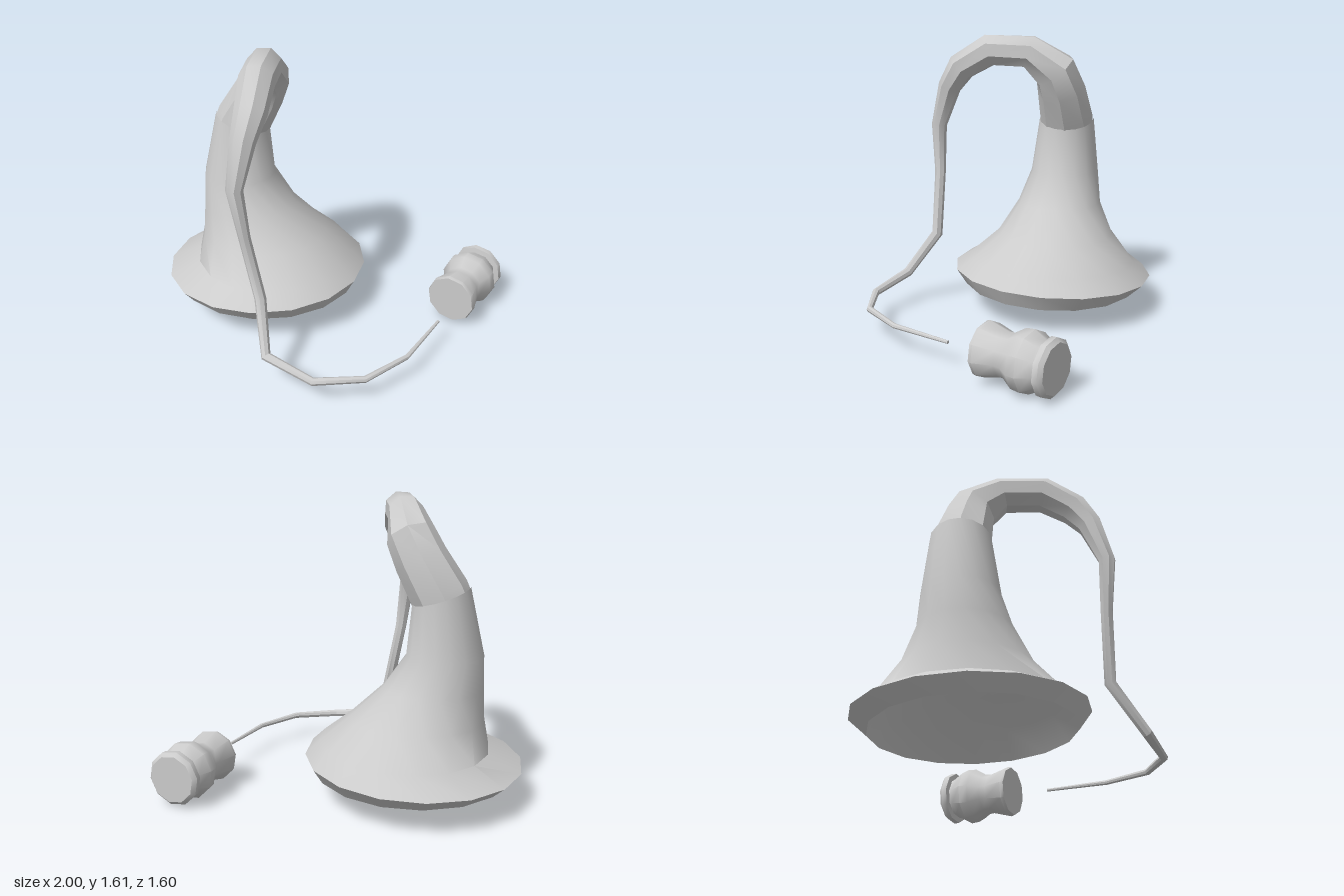
import * as THREE from 'three';
import { toCreasedNormals } from 'three/addons/utils/BufferGeometryUtils.js';

const material = new THREE.MeshStandardMaterial({ color: 0xcccccc });
const V = (x, y, z) => new THREE.Vector3(x, y, z);

// Skin a list of rings; each ring is { c, u, v }: a centre and two half axes.
function loft(rings, sides, crease) {
  const positions = [], index = [];
  for (const { c, u, v } of rings) {
    for (let j = 0; j < sides; j++) {
      const a = (j / sides) * Math.PI * 2;
      const p = c.clone().addScaledVector(u, Math.cos(a)).addScaledVector(v, Math.sin(a));
      positions.push(p.x, p.y, p.z);
    }
  }
  for (let i = 0; i < rings.length - 1; i++) {
    for (let j = 0; j < sides; j++) {
      const k = (j + 1) % sides;
      const a = i * sides + j, b = i * sides + k, c = a + sides, d = b + sides;
      index.push(a, c, d, a, d, b);
    }
  }
  const g = new THREE.BufferGeometry();
  g.setAttribute('position', new THREE.Float32BufferAttribute(positions, 3));
  g.setIndex(index);
  return toCreasedNormals(g, crease);
}

function addMesh(group, name, geometry) {
  const m = new THREE.Mesh(geometry, material);
  m.name = name;
  group.add(m);
  return m;
}

// Rings of constant roundness that follow a path of [x, y, z, radius].
function pathRings(path) {
  const pts = path.map(([x, y, z]) => V(x, y, z));
  let side = V(1, 0, 0);
  const rings = pts.map((c, i) => {
    const t = V(0, 0, 0);
    if (i > 0) t.add(c.clone().sub(pts[i - 1]).normalize());
    if (i < pts.length - 1) t.add(pts[i + 1].clone().sub(c).normalize());
    t.normalize();
    side = side.clone().addScaledVector(t, -side.dot(t)).normalize();
    const r = path[i][3];
    return { c, u: side.clone().multiplyScalar(r), v: side.clone().cross(t).multiplyScalar(r) };
  });
  // closed tip
  const end = rings[rings.length - 1];
  rings.push({ c: end.c, u: V(0, 0, 0), v: V(0, 0, 0) });
  return rings;
}

export function createModel() {
  const group = new THREE.Group();

  // Hollow bell: inside from apex to lip, then outside from rim to neck.
  // [x, y, z, half width x, half width z, tilt along x, tilt along z]
  const bell = [
    [-0.55, 0.85, -0.27, 0, 0, 0, 0],
    [-0.55, 0.78, -0.27, 0.17, 0.16, 0, 0],
    [-0.51, 0.6, -0.245, 0.23, 0.21, 0, 0],
    [-0.43, 0.43, -0.23, 0.32, 0.3, 0, 0],
    [-0.385, 0.29, -0.21, 0.4, 0.43, 0, 0.01],
    [-0.41, 0.145, -0.2, 0.53, 0.51, 0.005, 0.02],
    [-0.415, 0.225, -0.215, 0.585, 0.585, 0.015, 0.025],
    [-0.365, 0.31, -0.215, 0.455, 0.485, 0.01, 0.01],
    [-0.425, 0.45, -0.23, 0.365, 0.34, 0, 0],
    [-0.51, 0.62, -0.245, 0.27, 0.245, 0, 0],
    [-0.565, 0.8, -0.27, 0.205, 0.2, 0, 0],
    [-0.535, 1.12, -0.28, 0.15, 0.16, -0.05, 0],
  ].map(([x, y, z, rx, rz, tx, tz]) => ({ c: V(x, y, z), u: V(rx, tx, 0), v: V(0, tz, rz) }));
  addMesh(group, 'bell', loft(bell, 16, 0.7));

  // Neck arching forward and thinning into a tail along the ground
  const tail = [
    [-0.55, 1.07, -0.28, 0.155],
    [-0.525, 1.13, -0.278, 0.155],
    [-0.43, 1.3, -0.255, 0.14],
    [-0.38, 1.415, -0.22, 0.13],
    [-0.365, 1.522, -0.075, 0.097],
    [-0.365, 1.528, 0.155, 0.095],
    [-0.37, 1.43, 0.32, 0.085],
    [-0.4, 1.31, 0.4, 0.067],
    [-0.44, 1.075, 0.475, 0.045],
    [-0.405, 0.8, 0.465, 0.032],
    [-0.335, 0.43, 0.475, 0.032],
    [-0.285, 0.19, 0.65, 0.028],
    [-0.025, 0.147, 0.775, 0.022],
    [0.24, 0.147, 0.73, 0.018],
    [0.45, 0.147, 0.53, 0.014],
    [0.615, 0.147, 0.205, 0.009],
  ];
  addMesh(group, 'neckAndTail', loft(pathRings(tail), 8, 0.6));

  // Small turned stopper lying on its side: [radius, distance along axis]
  const profile = [
    [0, 0], [0.14, 0], [0.145, 0.02], [0.115, 0.13], [0.118, 0.17], [0.155, 0.23],
    [0.16, 0.28], [0.125, 0.345], [0.118, 0.365], [0.148, 0.37], [0.15, 0.4], [0.13, 0.42], [0, 0.42],
  ].map(([r, y]) => new THREE.Vector2(r, y));
  const stopper = addMesh(group, 'stopper', toCreasedNormals(new THREE.LatheGeometry(profile, 10), 0.75));
  stopper.position.set(0.685, 0.16, 0.005);
  stopper.quaternion.setFromUnitVectors(V(0, 1, 0), V(0.443, 0, -0.897).normalize());

  return group;
}
